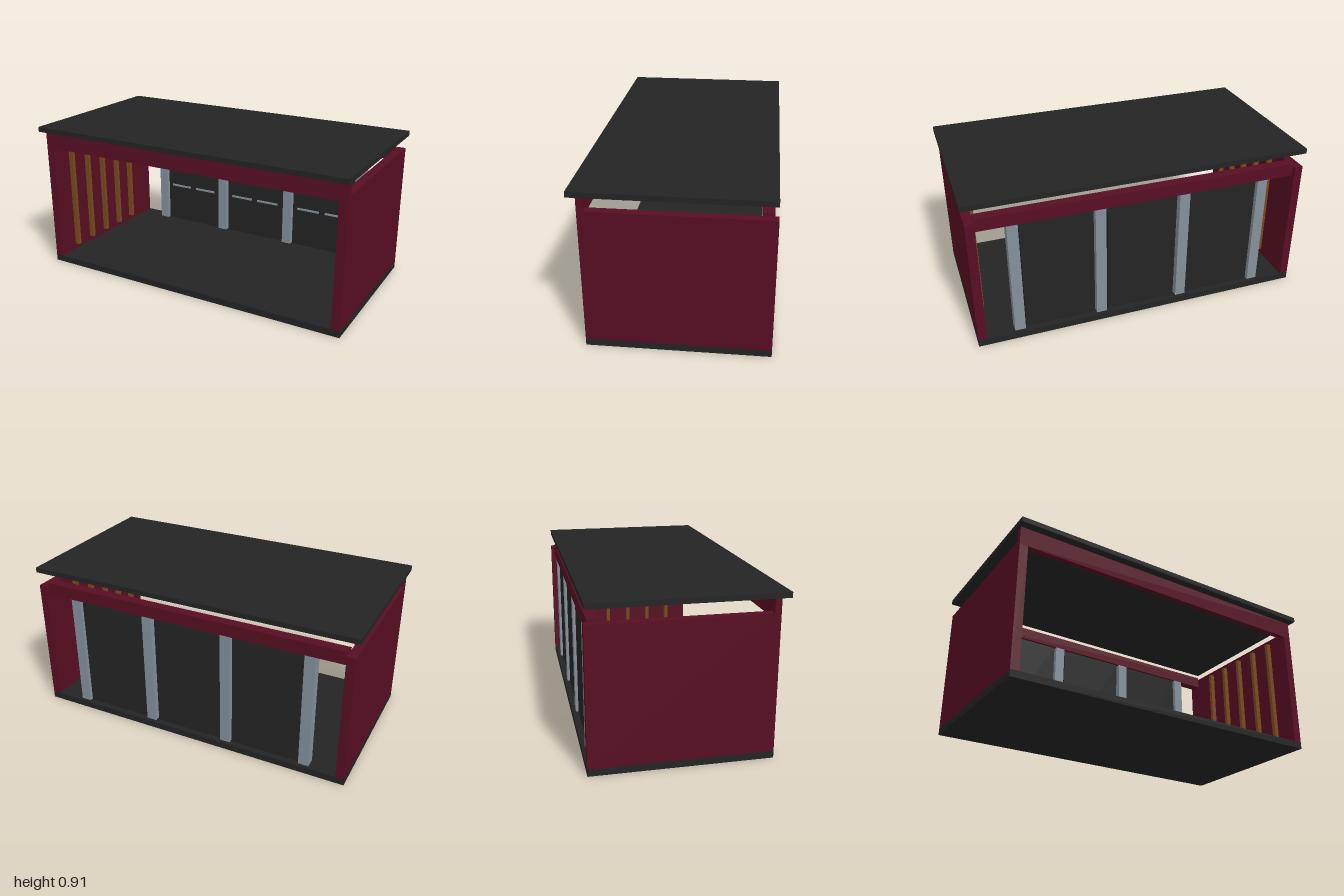
import * as THREE from 'three';

const material = (name, color) => {
  const m = new THREE.MeshStandardMaterial({ color });
  m.name = name;
  return m;
};

export function createModel() {
  const model = new THREE.Group();
  model.name = 'shelter';
  const charcoal = material('charcoal', 0x242424);
  const maroon = material('maroon', 0x570e23);
  const steel = material('steel grey', 0x84909a);
  const wood = material('brown wood', 0x78491c);

  // Box given by its lower and upper limits on each axis
  const block = (name, mat, [x0, x1], [y0, y1], [z0, z1]) => {
    const mesh = new THREE.Mesh(new THREE.BoxGeometry(x1 - x0, y1 - y0, z1 - z0), mat);
    mesh.position.set((x0 + x1) / 2, (y0 + y1) / 2, (z0 + z1) / 2);
    mesh.name = name;
    model.add(mesh);
  };
  const mirrored = (side, a, b) => (side > 0 ? [a, b] : [-b, -a]);

  // Floor slab and floating roof
  block('floor', charcoal, [-0.985, 0.985], [0, 0.04], [-0.52, 0.47]);
  block('roof', charcoal, [-1, 1], [0.88, 0.91], [-0.517, 0.517]);

  // Front and back beams
  block('frontBeam', maroon, [-0.985, 0.985], [0.77, 0.88], [0.435, 0.47]);
  block('backBeam', maroon, [-0.935, 0.935], [0.74, 0.815], [-0.5, -0.44]);

  for (const side of [-1, 1]) {
    // Side walls with front corner posts
    block('sideWall', maroon, mirrored(side, 0.935, 0.985), [0.04, 0.8], [-0.52, 0.435]);
    block('frontPost', maroon, mirrored(side, 0.935, 0.985), [0.04, 0.77], [0.435, 0.47]);
    // Upright slats on the inner face of each wall
    for (let i = 0; i < 5; i++) {
      const z = -0.265 + i * 0.148;
      block('wallSlat', wood, mirrored(side, 0.905, 0.935), [0.077, 0.765], [z - 0.011, z + 0.011]);
    }
  }

  // Back posts
  for (const x of [-0.74, -0.25, 0.25, 0.74]) {
    block('backPost', steel, [x - 0.031, x + 0.031], [0.04, 0.74], [-0.5, -0.44]);
  }

  // Back panels, each with two thin strips on the inside
  for (const x of [-0.495, 0, 0.495]) {
    block('backPanel', charcoal, [x - 0.207, x + 0.207], [0.04, 0.74], [-0.485, -0.455]);
    for (const s of [-0.098, 0.098]) {
      block('panelStrip', steel, [x + s - 0.076, x + s + 0.076], [0.294, 0.306], [-0.455, -0.447]);
    }
  }

  return model;
}
